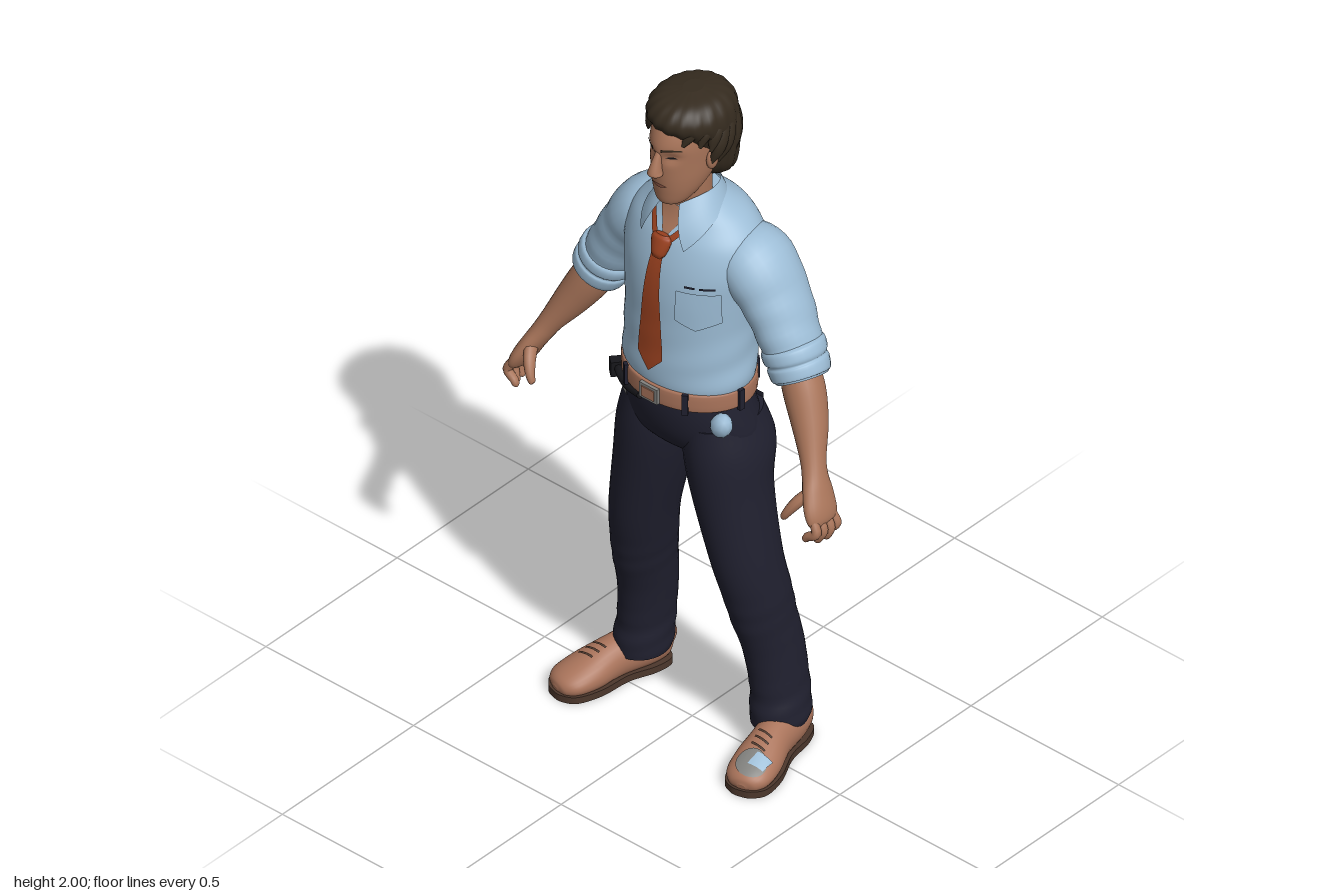
import * as THREE from 'three';

const V = (x, y, z) => new THREE.Vector3(x, y, z);
const paint = (name, color) => {
  const m = new THREE.MeshStandardMaterial({ color, side: THREE.DoubleSide });
  m.name = name;
  return m;
};

export function createModel() {
  const root = new THREE.Group();
  root.name = 'standingMan';
  const shirt = paint('shirtBlue', 0x9dbdd6), navy = paint('trouserNavy', 0x20202f);
  const skin = paint('skin', 0xa87459), leather = paint('tanLeather', 0xaa745b);
  const hair = paint('hairBrown', 0x352b1f), rust = paint('tieRust', 0x9c4220);
  const sole = paint('soleBrown', 0x4c372c), grey = paint('grey', 0x82827f);
  const black = paint('black', 0x17171b), lip = paint('lip', 0x8a5645);

  const add = (name, geo, mat) => {
    const m = new THREE.Mesh(geo, mat);
    m.name = name;
    root.add(m);
    return m;
  };

  const build = (pos, idx) => {
    const g = new THREE.BufferGeometry();
    g.setAttribute('position', new THREE.Float32BufferAttribute(pos, 3));
    g.setIndex(idx);
    g.computeVertexNormals();
    return g;
  };

  // Smooth loft through rows of [x, y, z, sideRadius, depthRadius]
  function loft(rows, { seg = 28, steps = 6, ref = V(0, 0, 1), level = false, bump, warp } = {}) {
    const path = new THREE.CatmullRomCurve3(rows.map(r => V(r[0], r[1], r[2])), false, 'catmullrom');
    const size = new THREE.CatmullRomCurve3(rows.map(r => V(r[3], r[4], 0)), false, 'catmullrom');
    const n = (rows.length - 1) * steps, pos = [], idx = [];
    const ring = i => {
      const c = path.getPoint(i / n), r = size.getPoint(i / n);
      const t = level ? V(0, Math.sign(rows[1][1] - rows[0][1]), 0) : path.getTangent(i / n);
      const u = t.clone().cross(ref).normalize(), v = u.clone().cross(t);
      for (let j = 0; j < seg; j++) {
        const a = j / seg * Math.PI * 2, k = bump ? bump(c, a, i / n) : 1;
        const p = c.clone().addScaledVector(u, Math.cos(a) * r.x * k).addScaledVector(v, Math.sin(a) * r.y * k);
        if (warp) warp(p);
        pos.push(p.x, p.y, p.z);
      }
      return c;
    };
    for (let i = 0; i <= n; i++) ring(i);
    for (let i = 0; i < n; i++) for (let j = 0; j < seg; j++) {
      const a = i * seg + j, b = i * seg + (j + 1) % seg;
      idx.push(a, a + seg, b, b, a + seg, b + seg);
    }
    for (const end of [0, n]) {
      const s = pos.length / 3, c = ring(end);
      if (warp) warp(c);
      pos.push(c.x, c.y, c.z);
      for (let j = 0; j < seg; j++) {
        const a = s + j, b = s + (j + 1) % seg;
        idx.push(s + seg, end ? b : a, end ? a : b);
      }
    }
    return build(pos, idx);
  }

  // Open sheet from a function of (u, v)
  function sheet(fn, nu, nv) {
    const pos = [], idx = [];
    for (let j = 0; j <= nv; j++) for (let i = 0; i <= nu; i++) pos.push(...fn(i / nu, j / nv));
    for (let j = 0; j < nv; j++) for (let i = 0; i < nu; i++) {
      const a = j * (nu + 1) + i, b = a + nu + 1;
      idx.push(a, a + 1, b + 1, a, b + 1, b);
    }
    return build(pos, idx);
  }

  // Thin plate laid over another part, seen along one direction
  const ray = new THREE.Raycaster();
  function drape(name, target, mat, fn, { off = 0.004, from = 'front', nu = 8, nv = 8 } = {}) {
    const d = { front: V(0, 0, -1), back: V(0, 0, 1), top: V(0, -1, 0) }[from];
    let last = null;
    return add(name, sheet((u, v) => {
      const [a, b] = fn(u, v);
      const o = from === 'top' ? V(a, 1, b) : V(from === 'back' ? -a : a, b, -d.z);
      ray.set(o, d);
      const hit = ray.intersectObject(target)[0];
      if (hit) last = hit.distance;
      return o.addScaledVector(d, (last ?? 0.9) - off).toArray();
    }, nu, nv), mat);
  }
  const patch = (cx, cy, w, h, tilt = 0) => (u, v) =>
    [cx + (u - 0.5) * w, cy + (v - 0.5) * h + (u - 0.5) * tilt];

  // Shirt body
  const torso = add('shirtBody', loft([
    [0, 1.1, .01, .168, .13], [0, 1.15, .01, .188, .145], [0, 1.22, .005, .186, .149], [0, 1.32, 0, .186, .15],
    [0, 1.42, -.01, .196, .157], [0, 1.5, -.02, .205, .155], [0, 1.57, -.025, .19, .136],
    [0, 1.62, -.03, .148, .11], [0, 1.655, -.02, .1, .085], [0, 1.68, -.01, .072, .068]], {
    level: true, seg: 56,
    bump: (c, a) => 1 + 0.009 * Math.sin(3 * a + c.y * 55) * Math.max(0, 1 - Math.abs(c.y - 1.22) / 0.14)
  }), shirt);

  // Neck, open throat and folded collar
  add('neck', loft([[0, 1.56, -.01, .06, .06], [0, 1.65, .005, .056, .058], [0, 1.75, .015, .058, .065]], { level: true }), skin);
  drape('throat', torso, skin, (u, v) => [(u - .5) * .11 * v, 1.575 + .085 * v]);
  add('collar', sheet((u, v) => {
    const k = u * 2 - 1, a = k * 2.75, w = k ** 4, f = 1 - v;
    const rx = .068 + f * (.02 + .1 * w), rz = .07 + .02 * w + f * (.02 + .02 * w);
    return [rx * Math.sin(a), 1.71 - .03 * w - f * (.05 + .06 * w), -.005 - rz * Math.cos(a) + .012 * Math.sin(v * Math.PI) * w];
  }, 48, 6), shirt);

  // Loosened tie
  for (const s of [-1, 1]) drape('tieLoop', torso, rust, (u, v) =>
    [s * (.008 + .052 * u), 1.55 + .065 * u + .026 * v], { off: .012 });
  add('tieKnot', loft([[0, 1.592, .113, .02, .01], [0, 1.58, .116, .031, .017], [0, 1.545, .128, .023, .017], [0, 1.53, .133, .015, .009]], { seg: 16 }), rust);
  drape('tieBlade', torso, rust, (u, v) => {
    const y = 1.19 + .355 * v;
    const w = y < 1.235 ? (y - 1.19) / .045 * .042 : .042 - (y - 1.235) / .31 * .024;
    return [(u - .5) * 2 * w, y];
  }, { off: .012, nv: 32, nu: 6 });

  // Chest pocket and its stitching
  drape('chestPocket', torso, shirt, (u, v) => [.068 + .1 * u, 1.46 - (1 - v) * (.115 - .05 * Math.abs(u - .5))], { off: .006 });
  drape('pocketStitch', torso, navy, patch(.1, 1.475, .026, .006), { off: .005, nv: 1 });
  drape('pocketStitch', torso, navy, patch(.14, 1.475, .034, .006), { off: .005, nv: 1 });

  // Trousers seat
  const seat = add('trouserSeat', loft([[0, 1.125, .01, .17, .135], [0, 1.05, .006, .186, .14], [0, .98, -.006, .199, .138],
    [0, .93, -.012, .19, .115], [0, .885, -.012, .1, .06]], { level: true, seg: 48 }), navy);

  // Belt, buckle and loops
  add('belt', loft([[0, 1.09, .01, .185, .146], [0, 1.096, .01, .19, .151], [0, 1.138, .01, .19, .151], [0, 1.144, .01, .184, .145]],
    { level: true, seg: 48, steps: 3 }), leather);
  add('buckle', new THREE.BoxGeometry(.06, .046, .012).translate(0, 1.117, .163), grey);
  add('buckleCentre', new THREE.BoxGeometry(.042, .03, .012).translate(0, 1.117, .166), leather);
  for (const a of [.55, 1.45, 2.4, 3.14, 3.88, 4.83, 5.73])
    add('beltLoop', new THREE.BoxGeometry(.016, .062, .01).rotateY(a)
      .translate(.192 * Math.sin(a), 1.115, .01 + .153 * Math.cos(a)), navy);

  // Hip items: cloth on one side, dark strap and grey lining on the other
  add('pocketCloth', new THREE.IcosahedronGeometry(.034, 1).scale(.9, 1.1, .8).rotateZ(-.4).translate(.17, 1.05, .08), shirt);
  drape('greyLining', seat, grey, patch(-.145, 1.045, .07, .04, .02), { off: .008 });
  add('hipStrap', new THREE.TubeGeometry(new THREE.CatmullRomCurve3([V(-.185, 1.065, .07), V(-.165, 1.07, .095),
    V(-.11, 1.072, .13), V(-.04, 1.083, .152)]), 20, .011, 8), black);
  add('hipPouch', new THREE.BoxGeometry(.03, .045, .045).rotateY(-.7).translate(-.178, 1.065, .08), black);

  const legRows = [[.1, 1.02, -.005, .088, .12], [.112, .92, -.015, .106, .134], [.13, .8, -.005, .099, .116],
    [.17, .6, -.012, .085, .103], [.19, .48, -.032, .079, .099], [.2, .4, -.047, .073, .096], [.212, .3, -.07, .069, .09],
    [.225, .18, -.08, .068, .086], [.232, .105, -.076, .074, .087], [.232, .075, -.073, .07, .081]];
  const fingers = [[.115, .49, .868], [.09, .508, .86], [.064, .514, .86], [.04, .512, .875]];

  for (const s of [-1, 1]) {
    const side = rows => rows.map(([x, ...r]) => [s * x, ...r]);

    // Trouser leg with soft folds at knee and ankle
    const leg = add('trouserLeg', loft(side(legRows), {
      level: true, seg: 32, bump: (c, a) => 1 + .02 * Math.sin(c.y * 95 + 2 * Math.sin(a)) *
        (Math.exp(-(((c.y - .14) / .08) ** 2)) + .5 * Math.exp(-(((c.y - .42) / .07) ** 2)))
    }), navy);
    drape('backPocket', leg, navy, patch(s * .1, .985, .09, .1), { from: 'back', off: .009 });

    // Sleeve and rolled cuff
    add('sleeve', loft(side([[.09, 1.535, -.04, .06, .08], [.17, 1.507, -.045, .091, .108], [.237, 1.425, -.048, .081, .1],
      [.29, 1.335, -.042, .074, .088], [.33, 1.262, -.035, .07, .077]]), {
      bump: (c, a, t) => 1 + .022 * t * Math.sin(t * 34 + 2 * Math.sin(a))
    }), shirt);
    add('rolledCuff', loft(side([[.3, 1.318, -.04, .07, .078], [.306, 1.306, -.039, .081, .088], [.318, 1.284, -.037, .081, .087],
      [.323, 1.274, -.036, .074, .08], [.328, 1.264, -.035, .079, .084], [.341, 1.238, -.032, .076, .08],
      [.347, 1.228, -.03, .066, .07]]), { steps: 4 }), shirt);

    // Forearm and palm
    add('forearm', loft(side([[.325, 1.265, -.035, .05, .052], [.36, 1.2, -.022, .055, .056], [.4, 1.13, .002, .047, .049],
      [.44, 1.06, .035, .033, .036], [.46, 1.022, .05, .029, .037], [.48, .985, .062, .027, .047],
      [.5, .945, .074, .025, .053], [.511, .92, .077, .019, .048], [.514, .912, .077, .008, .035]]), { seg: 24 }), skin);

    // Fingers and thumb
    for (const [z, x, y] of fingers) add('finger', loft(side([[.503, .94, .077 + (z - .077) * .85, .012, .012],
      [.523, .903, z, .0135, .0135], [x + .008, (y + .9) / 2, z + .004, .012, .012], [x, y + .004, z + .006, .009, .009],
      [x - .001, y, z + .006, .002, .002]]), { seg: 10, steps: 4 }), skin);
    add('thumb', loft(side([[.475, .995, .075, .014, .02], [.455, .968, .108, .016, .018], [.438, .94, .126, .013, .014],
      [.426, .918, .132, .009, .009], [.423, .914, .133, .002, .002]]), { seg: 10, steps: 4 }), skin);

    // Shoe and sole, toes turned out
    const place = new THREE.Matrix4().makeRotationY(s * .27).setPosition(s * .27, 0, .005);
    const shoe = add('shoe', loft([[0, .05, -.166, .02, .03], [0, .055, -.155, .045, .05], [0, .06, -.1, .056, .062],
      [0, .056, -.01, .052, .06], [0, .042, .07, .063, .05], [0, .034, .13, .06, .036], [0, .028, .16, .04, .024],
      [0, .026, .17, .012, .008]],
    { ref: V(0, 1, 0), warp: p => { p.y = Math.max(p.y, .018); } }).applyMatrix4(place), leather);
    const outline = new THREE.Shape();
    outline.moveTo(0, -.17);
    outline.splineThru([[.045, -.155], [.058, -.1], [.052, -.02], [.067, .07], [.06, .14], [.03, .17], [0, .176], [-.03, .17],
      [-.06, .14], [-.067, .07], [-.052, -.02], [-.058, -.1], [-.045, -.155], [0, -.17]].map(p => new THREE.Vector2(...p)));
    add('shoeSole', new THREE.ExtrudeGeometry(outline, { depth: .02, bevelEnabled: false, curveSegments: 40 })
      .rotateX(Math.PI / 2).translate(0, .02, 0).applyMatrix4(place), sole);
    for (const z of [.035, .055, .075]) drape('lace', shoe, sole,
      (u, v) => [s * (.272 + z * .27) + (u - .5) * .045, z + v * .006], { from: 'top', nv: 1 });
    if (s > 0) {
      drape('shoePatchGrey', shoe, grey, (u, v) => {
        const a = u * Math.PI * 2;
        return [.308 + .042 * v * Math.cos(a), .122 + .038 * v * Math.sin(a)];
      }, { from: 'top', nu: 24 });
      drape('shoePatchBlue', shoe, shirt, patch(.326, .108, .042, .04, -.01), { from: 'top', off: .007 });
    }
  }

  // Head with eye sockets
  const head = add('head', loft([[0, 1.685, .08, .02, .025], [0, 1.697, .073, .042, .045], [0, 1.73, .05, .062, .074],
    [0, 1.77, .03, .074, .098], [0, 1.82, .015, .08, .115], [0, 1.87, .005, .083, .129], [0, 1.92, -.005, .08, .12],
    [0, 1.96, -.01, .06, .09], [0, 1.975, -.01, .02, .03]], {
    level: true, seg: 64,
    warp: p => {
      if (p.z > 0) p.z -= .013 * Math.exp(-(((Math.abs(p.x) - .033) / .02) ** 2) - (((p.y - 1.847) / .016) ** 2));
    }
  }), skin);
  add('nose', loft([[0, 1.868, .122, .008, .008], [0, 1.84, .134, .011, .014], [0, 1.81, .142, .017, .02],
    [0, 1.798, .141, .02, .02], [0, 1.788, .134, .01, .01]], { level: true, seg: 16 }), skin);
  drape('mouth', head, lip, (u, v) => [(u - .5) * .052, 1.757 + (v - .5) * .012 * Math.sin(Math.PI * u)]);
  for (const s of [-1, 1]) {
    drape('eyebrow', head, hair, (u, v) => [s * (.013 + .044 * u), 1.867 + .006 * Math.sin(u * 2.5) + v * .008 * (1 - .5 * u)]);
    drape('eye', head, black, (u, v) => [s * (.033 + (u - .5) * .026), 1.847 + (v - .5) * .008 * Math.sin(Math.PI * u)], { off: .003 });
    add('ear', new THREE.SphereGeometry(1, 16, 12).scale(.012, .03, .02).translate(s * .086, 1.82, .02), skin);
  }

  // Hair cap and swept locks
  add('hairCap', loft([[0, 1.725, -.06, .06, .045], [0, 1.745, -.055, .08, .062], [0, 1.78, -.045, .095, .08],
    [0, 1.84, -.035, .105, .09], [0, 1.89, -.015, .111, .11], [0, 1.93, 0, .11, .125], [0, 1.96, .002, .1, .117],
    [0, 1.984, 0, .074, .088], [0, 1.995, -.005, .025, .03]],
  { level: true, seg: 72, bump: (c, a) => 1 + .018 * Math.sin(18 * a + c.y * 40) }), hair);
  const count = 28;
  for (let k = 0; k < count; k++) {
    const az = k / count * Math.PI * 2, f = Math.cos(az);
    const end = (f > 0 ? 2.15 - 1.08 * f : 2.15 - .38 * f) + .12 * Math.sin(k * 2.4);
    const rows = [[.014, .006], [.024, .012], [.025, .014], [.02, .013], [.004, .003]].map(([w, d], i) => {
      const t = i / 4, phi = .2 + t * (end - .2), b = az + .55 * (1 - t) + .12 * Math.sin(k * 1.7) * t;
      const r = phi > 1.57 ? Math.max(Math.sin(phi), .76) : Math.sin(phi);
      return [.106 * r * Math.sin(b), 1.865 + .122 * Math.cos(phi), -.002 + .121 * r * Math.cos(b), w, d];
    });
    add('hairLock', loft(rows, { seg: 10, steps: 4, ref: V(Math.sin(az), 1, f) }), hair);
  }
  return root;
}
